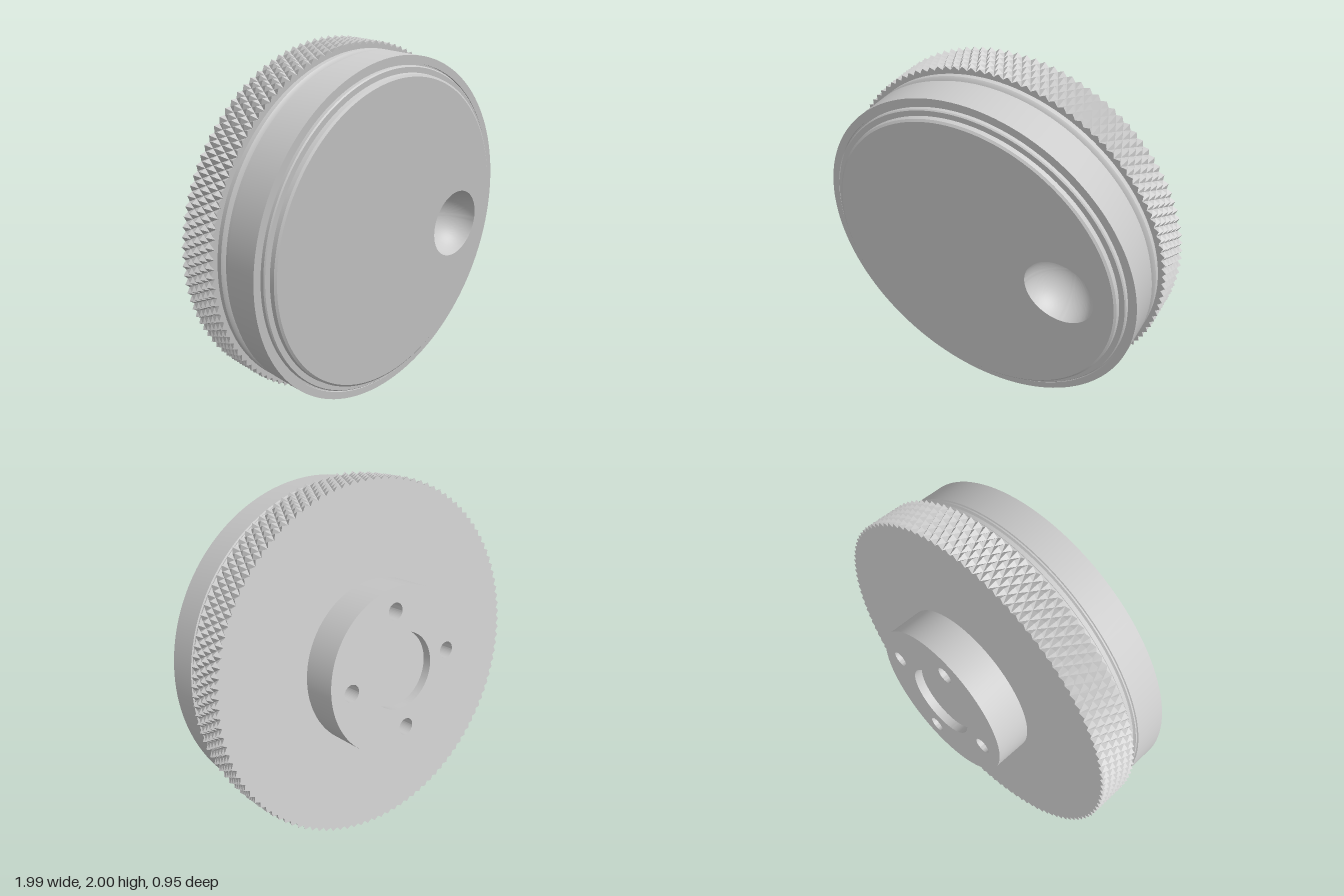
import * as THREE from 'three';
import { toCreasedNormals } from 'three/addons/utils/BufferGeometryUtils.js';

const SEG = 128;
const material = new THREE.MeshStandardMaterial({ color: 0xcccccc });
const flatMaterial = new THREE.MeshStandardMaterial({ color: 0xcccccc, flatShading: true });

// Turned part about the z axis; profile is [radius, z] pairs.
function turned(name, profile, x = 0, y = 0, crease = 0.4, seg = SEG) {
  const points = profile.map(([r, z]) => new THREE.Vector2(r, z));
  const geo = new THREE.LatheGeometry(points, seg).rotateX(Math.PI / 2);
  const mesh = new THREE.Mesh(toCreasedNormals(geo, crease), material);
  mesh.name = name;
  mesh.position.set(x, y, 0);
  return mesh;
}

// Flat disc with round holes given as [x, y, radius].
function plate(name, radius, holes) {
  const shape = new THREE.Shape().absarc(0, 0, radius, 0, Math.PI * 2);
  for (const [x, y, r] of holes) {
    shape.holes.push(new THREE.Path().absarc(x, y, r, 0, Math.PI * 2, true));
  }
  const mesh = new THREE.Mesh(new THREE.ShapeGeometry(shape, SEG / 2), material);
  mesh.name = name;
  return mesh;
}

// Band of diamond pyramids: peaks and grooves alternate over a regular grid.
function knurledBand(zBack, zFront, low, high, inner, count, rows) {
  const pos = [];
  const rings = rows + 3; // first and last rings close the ends
  const point = (i, j) => {
    const angle = (i / (count * 2)) * Math.PI * 2;
    const row = Math.min(Math.max(j - 1, 0), rows);
    const end = j === 0 || j === rings - 1;
    const r = end ? inner : (i + row) % 2 ? high : low;
    return [r * Math.cos(angle), r * Math.sin(angle), zBack + ((zFront - zBack) * row) / rows];
  };
  for (let i = 0; i < count * 2; i++) {
    for (let j = 0; j < rings - 1; j++) {
      const a = point(i, j), b = point(i + 1, j), c = point(i + 1, j + 1), d = point(i, j + 1);
      // Split each cell along its groove
      if ((i + j) % 2) pos.push(...a, ...b, ...c, ...a, ...c, ...d);
      else pos.push(...a, ...b, ...d, ...b, ...c, ...d);
    }
  }
  const geo = new THREE.BufferGeometry();
  geo.setAttribute('position', new THREE.Float32BufferAttribute(pos, 3));
  geo.computeVertexNormals();
  const mesh = new THREE.Mesh(geo, flatMaterial);
  mesh.name = 'knurledGrip';
  return mesh;
}

export function createModel() {
  const knob = new THREE.Group();
  knob.name = 'knob';

  const back = -0.36, faceZ = 0.18, hubZ = -0.562;

  // Back disc and knurled grip
  knob.add(turned('backDisc', [[0.4, back], [0.945, back]]));
  knob.add(knurledBand(back, -0.129, 0.972, 0.993, 0.94, 120, 5));

  // Stepped front body with grooves behind and inside its rim
  knob.add(turned('body', [
    [0.93, -0.129], [0.952, -0.129], [0.952, -0.103], [0.945, -0.096], [0.932, -0.09],
    [0.932, -0.066], [0.944, -0.06], [0.944, -0.052], [0.952, -0.05], [0.952, 0.134],
    [0.91, 0.134], [0.91, 0.122], [0.9, 0.122], [0.9, 0.142], [0.894, 0.148],
    [0.865, 0.148], [0.862, 0.172], [0.85, faceZ],
  ]));

  // Front face with finger dimple
  const dimpleX = 0.545, dimpleR = 0.197, depth = 0.18;
  const face = plate('frontFace', 0.85, [[dimpleX, 0, dimpleR]]);
  face.position.z = faceZ;
  knob.add(face);
  const sphereR = (dimpleR ** 2 + depth ** 2) / (2 * depth);
  const maxAngle = Math.acos((sphereR - depth) / sphereR);
  const bowl = [];
  for (let i = 0; i <= 20; i++) {
    const t = maxAngle * (1 - i / 20);
    bowl.push([sphereR * Math.sin(t), faceZ - depth + sphereR * (1 - Math.cos(t))]);
  }
  knob.add(turned('fingerDimple', bowl, dimpleX, 0, 1));

  // Rear hub with shallow bore and four blind holes
  const hub = new THREE.Group();
  hub.name = 'hub';
  const holes = [[0, 0, 0.213]];
  for (let i = 0; i < 4; i++) {
    const angle = (i * Math.PI) / 2;
    holes.push([0.335 * Math.cos(angle), 0.335 * Math.sin(angle), 0.047]);
  }
  hub.add(turned('hubSide', [[0.4625, hubZ], [0.4625, back]]));
  const hubFace = plate('hubFace', 0.4625, holes);
  hubFace.rotation.y = Math.PI;
  hubFace.position.z = hubZ;
  hub.add(hubFace);
  holes.forEach(([x, y, r], i) => {
    const floor = hubZ + (i ? 0.1 : 0.05);
    hub.add(turned(i ? 'boltHole' : 'bore', [[0, floor], [r, floor], [r, hubZ]], x, y));
  });
  knob.add(hub);

  // Lean the knob forward so that it rests on its rim
  knob.rotation.x = 0.1636;
  knob.position.set(0, 0.965, 0.159);

  const model = new THREE.Group();
  model.name = 'tiltedKnob';
  model.add(knob);
  return model;
}
